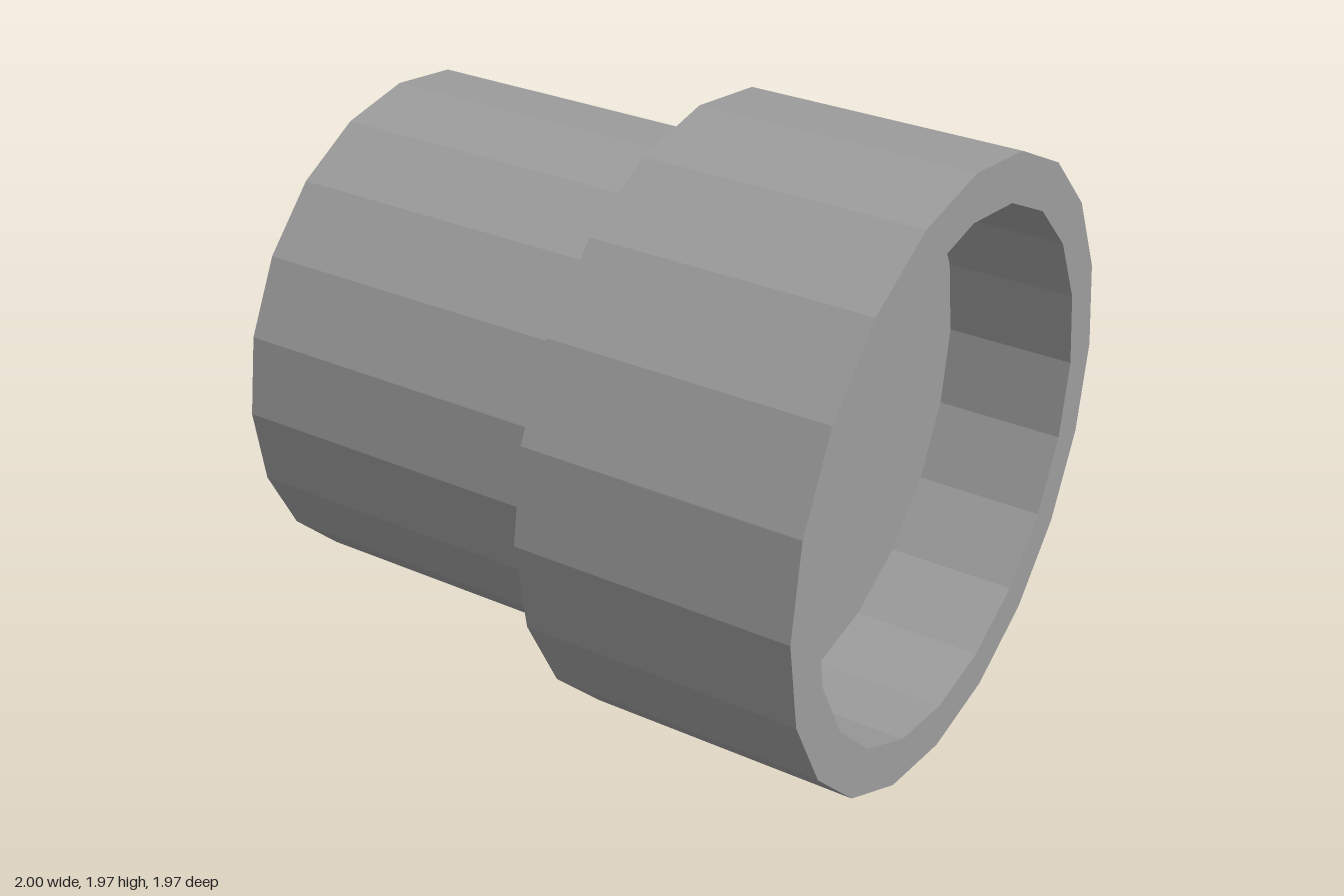
import * as THREE from 'three';

const SIDES = 20;
const material = new THREE.MeshStandardMaterial({ color: 0x9d9d9d, flatShading: true });

// Turns a profile of [radius, x] points about the x axis
function turned(name, profile) {
  const points = profile.map(([r, x]) => new THREE.Vector2(r, x));
  const geometry = new THREE.LatheGeometry(points, SIDES).rotateZ(-Math.PI / 2);
  const mesh = new THREE.Mesh(geometry, material);
  mesh.name = name;
  return mesh;
}

export function createModel() {
  const outer = 0.983, bore = 0.831, neck = 0.811;
  const step = 0.063, shoulder = 0.11, floor = 0.575;

  const fitting = new THREE.Group();
  fitting.name = 'pipeFitting';
  fitting.position.y = outer;

  // Narrow plug with a closed end
  fitting.add(turned('spigot', [[0, -1], [neck, -1], [neck, step]]));

  // Wide collar: bevelled shoulder, outer wall, rim
  fitting.add(turned('socket', [
    [neck, step], [outer, shoulder], [outer, 1], [bore, 1],
  ]));

  // Blind recess in the open end
  fitting.add(turned('recess', [[bore, 1], [bore, floor], [0, floor]]));

  const model = new THREE.Group();
  model.name = 'model';
  model.add(fitting);
  return model;
}
